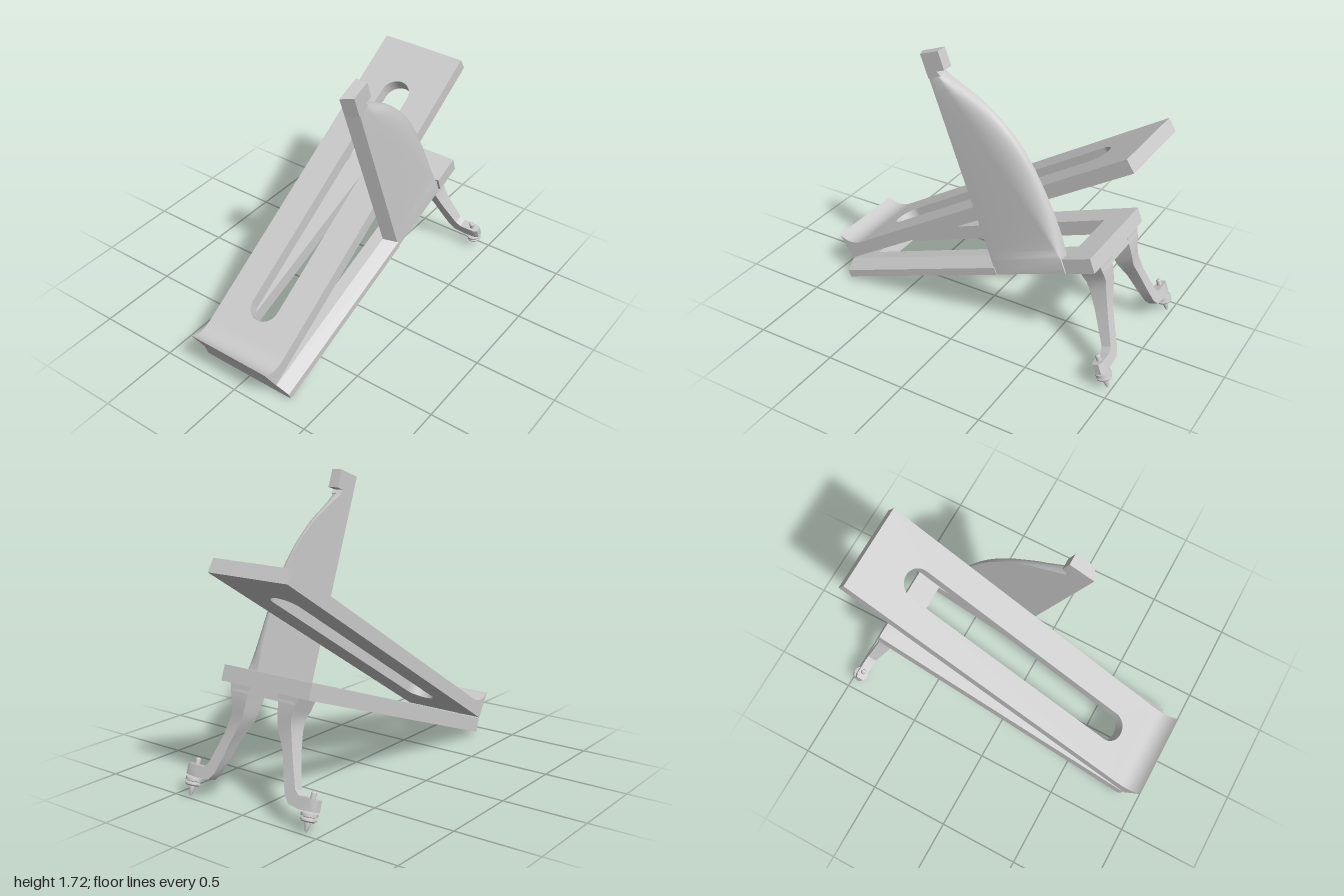
import * as THREE from 'three';
import { toCreasedNormals } from 'three/addons/utils/BufferGeometryUtils.js';

const material = new THREE.MeshStandardMaterial({ color: 0xcccccc });

function add(parent, name, geometry) {
  const mesh = new THREE.Mesh(geometry, material);
  mesh.name = name;
  parent.add(mesh);
  return mesh;
}

// Box given by its limits on each axis
function box(x0, x1, y0, y1, z0, z1) {
  return new THREE.BoxGeometry(x1 - x0, y1 - y0, z1 - z0)
    .translate((x0 + x1) / 2, (y0 + y1) / 2, (z0 + z1) / 2);
}

// Solid skin over equal-sized rings, counter-clockwise seen from the path's end
function loft(rings, crease = 0.6) {
  const pos = [];
  const tri = (a, b, c) => pos.push(...a, ...b, ...c);
  const n = rings[0].length;
  for (let i = 0; i < rings.length - 1; i++) {
    for (let j = 0; j < n; j++) {
      const k = (j + 1) % n;
      const [a, b] = [rings[i], rings[i + 1]];
      tri(a[j], a[k], b[k]);
      tri(a[j], b[k], b[j]);
    }
  }
  const first = rings[0], last = rings[rings.length - 1];
  for (let j = 1; j < n - 1; j++) {
    tri(first[0], first[j + 1], first[j]);
    tri(last[0], last[j], last[j + 1]);
  }
  const g = new THREE.BufferGeometry();
  g.setAttribute('position', new THREE.Float32BufferAttribute(pos, 3));
  return toCreasedNormals(g, crease);
}

// Flat slab: the shape lies in x/z, its thickness runs up from y = 0
function slab(shape, depth) {
  return new THREE.ExtrudeGeometry(shape, { depth, bevelEnabled: false, curveSegments: 24 })
    .rotateX(Math.PI / 2).translate(0, depth, 0);
}

function rectangle(Type, x0, x1, z0, z1) {
  return new Type([[x0, z0], [x1, z0], [x1, z1], [x0, z1]].map(p => new THREE.Vector2(...p)));
}

// Sloping base frame with a long rectangular opening
function buildBase(parent) {
  const shape = rectangle(THREE.Shape, 0, 1.8, -0.305, 0.235);
  shape.holes.push(rectangle(THREE.Path, 0.16, 1.65, -0.158, 0.16));
  add(parent, 'baseFrame', slab(shape, 0.09));
  // Chamfered front rail, section in z/y, swept along x
  const section = [[0.235, 0], [0.235, 0.09], [0.31, 0.045], [0.31, 0]];
  add(parent, 'frontRail', loft([0, 1.145].map(x => section.map(([z, y]) => [x, y, z])), 0.1));
  add(parent, 'frontCorner', box(1.62, 1.8, 0, 0.09, 0.235, 0.31));
}

// Upright fin: flat triangular face, rounded bow edge and a hook on top
function buildFin(parent) {
  const bow = new THREE.CatmullRomCurve3(
    [[1.61, 0.09], [1.616, 0.22], [1.602, 0.45], [1.545, 0.735], [1.425, 0.975], [1.22, 1.21]]
      .map(([x, y]) => new THREE.Vector3(x, y, 0)));
  const ring = (y, chord, edge) => {
    const pts = [[1.1, y, 0.235], [1.14, y, 0.305]];
    for (let i = 0; i <= 6; i++) {
      const a = (i / 6) * Math.PI / 2;
      pts.push([chord + (edge - chord) * Math.sin(a), y, 0.245 + 0.06 * Math.cos(a)]);
    }
    pts.push([edge, y, 0.235]);
    return pts;
  };
  const rings = [ring(0, 1.609, 1.615)];
  for (let i = 0; i <= 28; i++) {
    const p = bow.getPoint(i / 28);
    const chord = THREE.MathUtils.mapLinear(p.y, 0.09, 1.21, 1.609, 1.2);
    rings.push(ring(p.y, Math.min(chord, p.x - 0.001), p.x));
  }
  add(parent, 'fin', loft(rings, 0.7));
  const hook = [[1.21, 1.22], [1.24, 1.205], [1.24, 1.257], [1.35, 1.257]];
  add(parent, 'finHook', loft(hook.map(([y, x]) =>
    [[1.1, y, 0.235], [1.135, y, 0.305], [x, y, 0.305], [x, y, 0.235]]), 0.3));
}

// One splayed leg with its screw foot; side is +1 or -1
function buildLeg(parent, side) {
  const leg = new THREE.Group();
  leg.name = side > 0 ? 'frontLeg' : 'backLeg';
  // outer z, outer y, inner z, inner y, x from, x to
  const sections = [
    [0.24, 0, 0.1, 0, 1.655, 1.8],
    [0.222, -0.06, 0.11, -0.06, 1.655, 1.795],
    [0.205, -0.11, 0.118, -0.13, 1.66, 1.785],
    [0.212, -0.17, 0.13, -0.19, 1.668, 1.77],
    [0.24, -0.275, 0.175, -0.28, 1.68, 1.76],
    [0.275, -0.37, 0.215, -0.4, 1.69, 1.758],
    [0.31, -0.46, 0.25, -0.5, 1.7, 1.758],
    [0.34, -0.482, 0.285, -0.54, 1.7, 1.758],
    [0.4, -0.482, 0.36, -0.55, 1.7, 1.758],
    [0.435, -0.482, 0.435, -0.545, 1.7, 1.758],
    [0.46, -0.482, 0.46, -0.545, 1.712, 1.748],
  ];
  const rings = sections.map(([oz, oy, iz, iy, x0, x1]) => {
    const r = [[x0, iy, iz * side], [x1, iy, iz * side], [x1, oy, oz * side], [x0, oy, oz * side]];
    return side > 0 ? r : r.reverse();
  });
  add(leg, 'legStrut', loft(rings, 0.5));

  // Screw, locking discs and spike turned around one axis
  const profile = [
    [0, -0.66], [0.009, -0.645], [0.018, -0.605], [0.018, -0.6], [0.036, -0.6], [0.044, -0.593],
    [0.044, -0.585], [0.028, -0.58], [0.028, -0.576], [0.046, -0.572], [0.046, -0.556],
    [0.03, -0.55], [0.015, -0.545], [0.015, -0.452], [0.01, -0.445], [0, -0.445],
  ].map(p => new THREE.Vector2(...p));
  const foot = new THREE.LatheGeometry(profile, 20);
  add(leg, 'screwFoot', toCreasedNormals(foot, 0.5)).position.set(1.73, 0, 0.412 * side);
  parent.add(leg);
}

// Long slotted plate with a curled lip at its low end
function buildPlate(parent) {
  const shape = rectangle(THREE.Shape, 0.15, 2.21, -0.305, 0.235);
  const r = 0.09, z = -0.038;
  const slot = new THREE.Path();
  slot.absarc(0.26 + r, z, r, Math.PI / 2, Math.PI * 1.5);
  slot.absarc(1.945 - r, z, r, -Math.PI / 2, Math.PI / 2);
  slot.closePath();
  shape.holes.push(slot);
  add(parent, 'slottedPlate', slab(shape, 0.083));

  const lip = new THREE.Shape();
  lip.moveTo(0, 0);
  lip.lineTo(0.15, 0);
  lip.lineTo(0.15, 0.083);
  lip.bezierCurveTo(0.08, 0.083, 0.025, 0.105, 0, 0.171);
  lip.closePath();
  const g = new THREE.ExtrudeGeometry(lip, { depth: 0.54, bevelEnabled: false, curveSegments: 16 });
  add(parent, 'plateLip', toCreasedNormals(g.translate(0, 0, -0.305), 0.5));
}

export function createModel() {
  const model = new THREE.Group();
  model.name = 'tiltedStand';

  const stand = new THREE.Group();
  stand.name = 'stand';
  stand.position.set(-0.875, 0.012, 0);
  stand.rotation.z = THREE.MathUtils.degToRad(20.45);
  buildBase(stand);
  buildFin(stand);
  add(stand, 'legMount', box(1.657, 1.798, -0.04, 0, -0.22, 0.22));
  for (const side of [1, -1]) buildLeg(stand, side);

  const plate = new THREE.Group();
  plate.name = 'plate';
  plate.position.set(-0.91, 0.1, 0);
  plate.rotation.z = THREE.MathUtils.degToRad(31.96);
  buildPlate(plate);

  model.add(stand, plate);
  return model;
}
